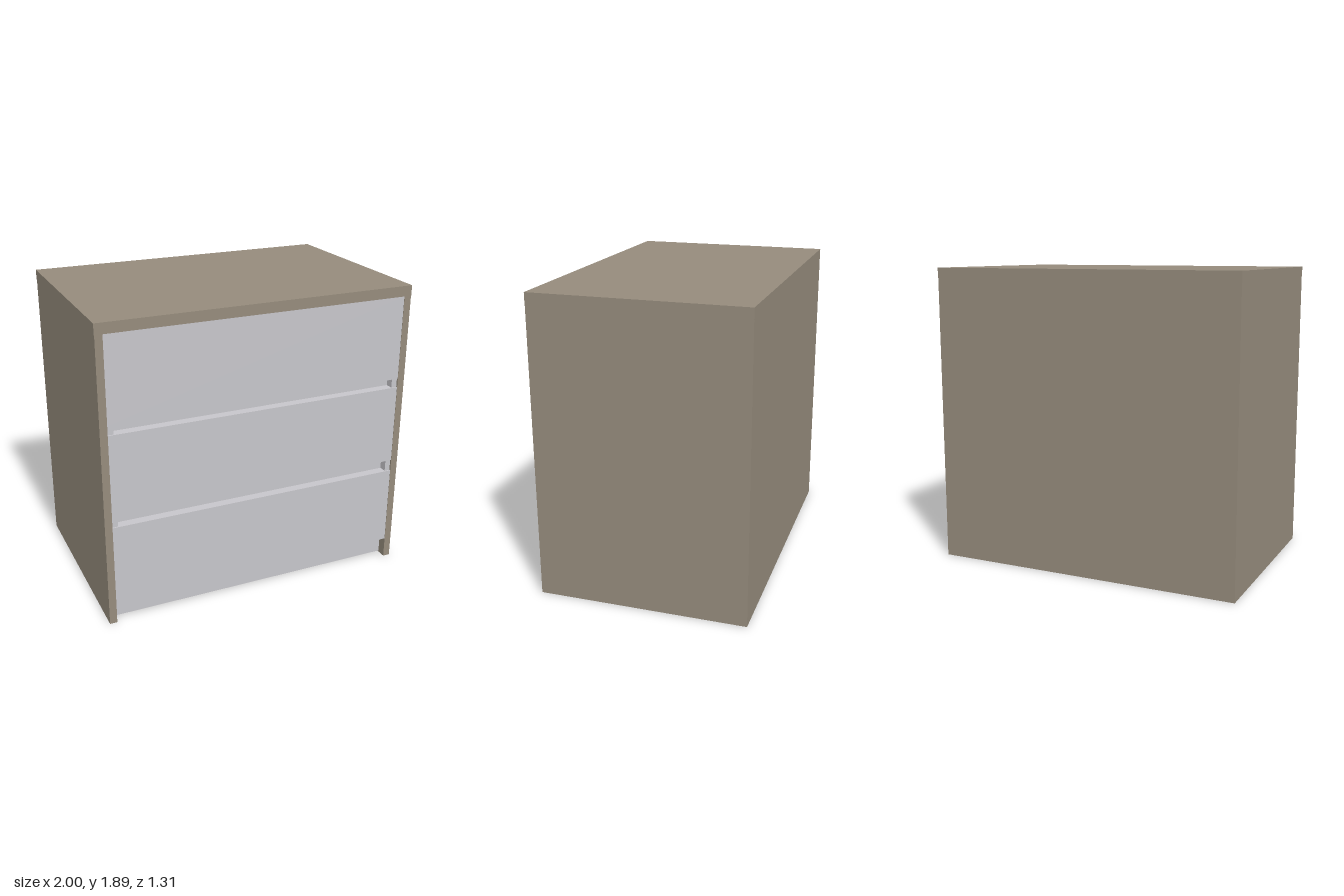
import * as THREE from 'three';

export function createModel() {
  const group = new THREE.Group();
  const wood = new THREE.MeshStandardMaterial({ color: 0x958b7c });
  wood.name = 'taupe wood';
  const lacquer = new THREE.MeshStandardMaterial({ color: 0xc6c5ca });
  lacquer.name = 'pale grey lacquer';

  // Box given by its lower and upper corners
  function panel(name, material, [x0, y0, z0], [x1, y1, z1]) {
    const mesh = new THREE.Mesh(new THREE.BoxGeometry(x1 - x0, y1 - y0, z1 - z0), material);
    mesh.position.set((x0 + x1) / 2, (y0 + y1) / 2, (z0 + z1) / 2);
    mesh.name = name;
    group.add(mesh);
  }

  const inner = 0.952, depth = 0.655, underTop = 1.825, recess = 0.595;

  // Carcass: top, two sides and back
  panel('top', wood, [-1, underTop, -depth], [1, 1.89, depth]);
  panel('rightSide', wood, [-0.998, 0, -depth], [-inner, underTop, depth]);
  panel('leftSide', wood, [inner, 0, -depth], [0.998, underTop, depth]);
  panel('back', wood, [-inner, 0, -depth], [inner, underTop, -0.61]);

  // Inner body, whose front shows as plinth and finger slots
  panel('innerBody', lacquer, [-inner, 0.008, -0.61], [inner, underTop, recess]);

  // Drawer fronts
  const drawers = [[0.135, 0.65], [0.725, 1.235], [1.292, underTop]];
  for (const [low, high] of drawers) {
    panel('drawerFront', lacquer, [-inner, low, recess], [inner, high, 0.653]);
  }

  // Small blocks closing both ends of each finger slot
  for (let i = 0; i < 2; i++) {
    const low = drawers[i][1], high = drawers[i + 1][0];
    panel('slotEndRight', lacquer, [-inner, low, recess], [-0.915, high, 0.645]);
    panel('slotEndLeft', lacquer, [0.915, low, recess], [inner, high, 0.645]);
  }
  return group;
}
